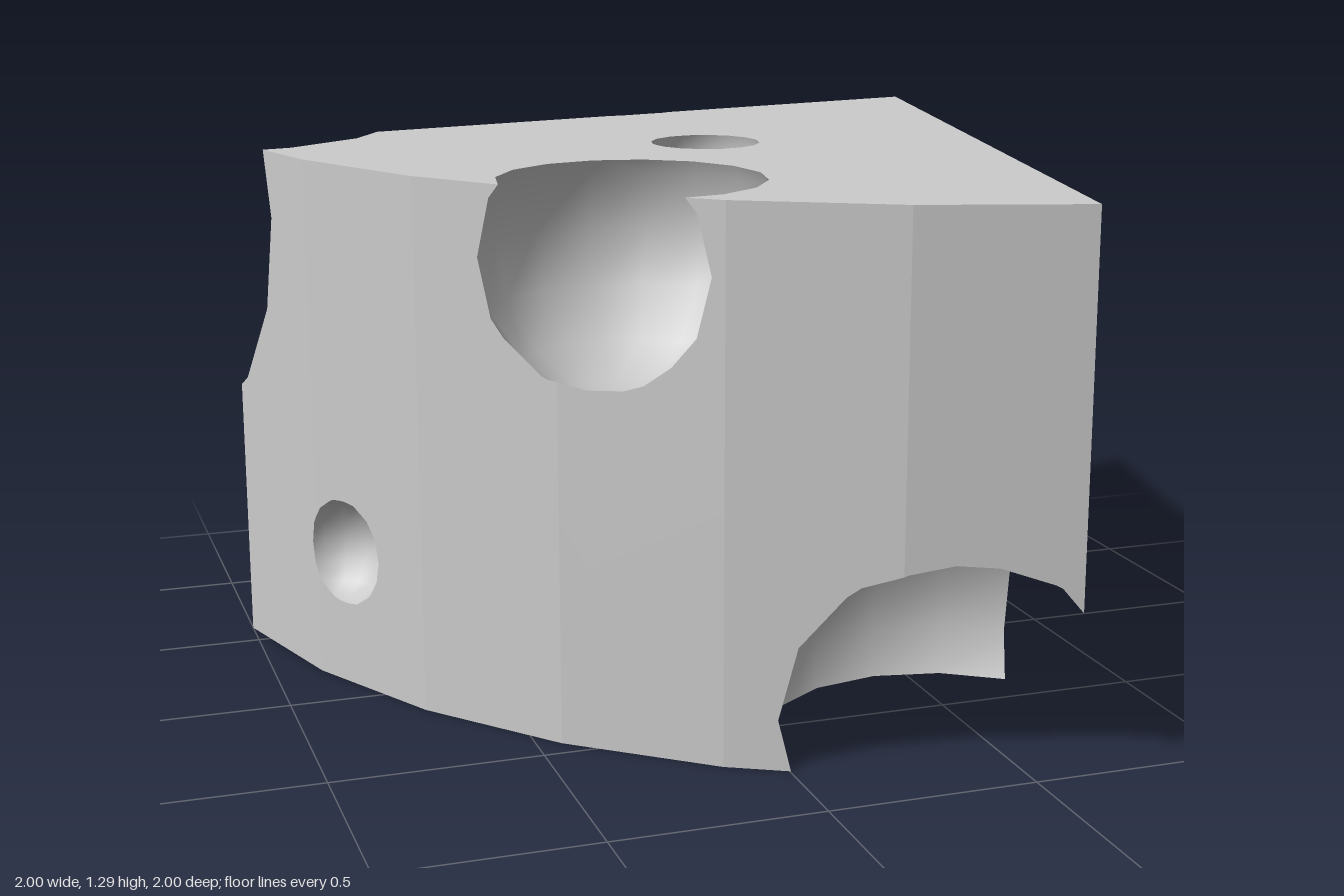
import * as THREE from 'three';

const HEIGHT = 1.295;
const EPS = 1e-6;

// Round holes: centre x, y, z and radius
const HOLES = [
  ['topLargeHole', -0.23, 1.125, 0.33, 0.36],
  ['topSmallHole', 0.135, 1.25, -0.215, 0.146],
  ['backCornerHole', -1.1, 1.13, -0.98, 0.62],
  ['backHole', 0.09, 0.98, -1.175, 0.487],
  ['frontCornerHole', 0.42, 0.12, 0.695, 0.456],
  ['sideBottomHole', 0.98, -0.02, -0.61, 0.26],
  ['rindSmallHole', -0.86, 0.335, -0.11, 0.136],
];

const planeOf = (poly) => new THREE.Plane().setFromCoplanarPoints(poly[0], poly[1], poly[2]);

// Part of a convex polygon on one side of a plane (sign 1: in front, -1: behind)
function clip(poly, plane, sign) {
  const out = [];
  poly.forEach((a, i) => {
    const b = poly[(i + 1) % poly.length];
    const da = sign * plane.distanceToPoint(a);
    const db = sign * plane.distanceToPoint(b);
    if (da >= -EPS) out.push(a);
    if ((da > EPS && db < -EPS) || (da < -EPS && db > EPS)) {
      out.push(a.clone().lerp(b, da / (da - db)));
    }
  });
  const inside = out.some((p) => sign * plane.distanceToPoint(p) > EPS);
  return out.length > 2 && inside ? out : null;
}

// Cut a convex solid, given by its planes, out of a polygon
function subtract(poly, planes) {
  const pieces = [];
  let rest = poly;
  for (const plane of planes) {
    const outside = clip(rest, plane, 1);
    if (outside) pieces.push(outside);
    rest = clip(rest, plane, -1);
    if (!rest) return [poly];
  }
  return pieces;
}

// Triangle fans with a normal rule for each point
function toMesh(name, polys, normalAt, material) {
  const pos = [];
  const nor = [];
  polys.forEach((poly, k) => {
    for (let i = 1; i < poly.length - 1; i++) {
      for (const p of [poly[0], poly[i], poly[i + 1]]) {
        pos.push(p.x, p.y, p.z);
        nor.push(...normalAt(p, k).toArray());
      }
    }
  });
  const geometry = new THREE.BufferGeometry();
  geometry.setAttribute('position', new THREE.Float32BufferAttribute(pos, 3));
  geometry.setAttribute('normal', new THREE.Float32BufferAttribute(nor, 3));
  const mesh = new THREE.Mesh(geometry, material);
  mesh.name = name;
  return mesh;
}

// Faces of a low-poly ball as triangles
function ballFaces(centre, radius) {
  const geometry = new THREE.SphereGeometry(radius, 16, 8).toNonIndexed();
  const p = geometry.attributes.position;
  const faces = [];
  for (let i = 0; i < p.count; i += 3) {
    faces.push([0, 1, 2].map((j) => new THREE.Vector3().fromBufferAttribute(p, i + j).add(centre)));
  }
  return faces;
}

// Wedge: the pointed tip, then the rind as a six-sided arc around it
function wedgeFaces() {
  const outline = [[1, -1]];
  const start = Math.atan2(2, -0.4);
  const end = Math.atan2(0.4, -2);
  const radius = Math.hypot(2, 0.4);
  for (let i = 0; i <= 6; i++) {
    const a = start + ((end - start) * i) / 6;
    outline.push([1 + radius * Math.cos(a), -1 + radius * Math.sin(a)]);
  }
  const low = outline.map(([x, z]) => new THREE.Vector3(x, 0, z));
  const high = outline.map(([x, z]) => new THREE.Vector3(x, HEIGHT, z));
  const sides = low.map((a, i) => {
    const j = (i + 1) % low.length;
    return [low[j], a, high[i], high[j]];
  });
  return [low, [...high].reverse(), ...sides];
}

export function createModel() {
  const group = new THREE.Group();
  group.name = 'cheeseWedge';
  const material = new THREE.MeshStandardMaterial({ color: 0xcccccc });

  const faces = wedgeFaces();
  const wedgePlanes = faces.map(planeOf);
  let pieces = faces.map((poly, i) => ({ poly, normal: wedgePlanes[i].normal }));

  for (const [name, x, y, z, radius] of HOLES) {
    const centre = new THREE.Vector3(x, y, z);
    const ball = ballFaces(centre, radius);
    const ballPlanes = ball.map(planeOf);

    // Openings in the flat faces
    pieces = pieces.flatMap(({ poly, normal }) =>
      subtract(poly, ballPlanes).map((piece) => ({ poly: piece, normal })));

    // Hollow lining: the part of the ball inside the wedge, turned inward
    const lining = ball
      .map((poly) => wedgePlanes.reduce((rest, plane) => rest && clip(rest, plane, -1), poly))
      .filter(Boolean)
      .map((poly) => poly.reverse());
    group.add(toMesh(name, lining, (p) => centre.clone().sub(p).normalize(), material));
  }

  group.add(toMesh('body', pieces.map((f) => f.poly), (p, k) => pieces[k].normal, material));
  return group;
}
